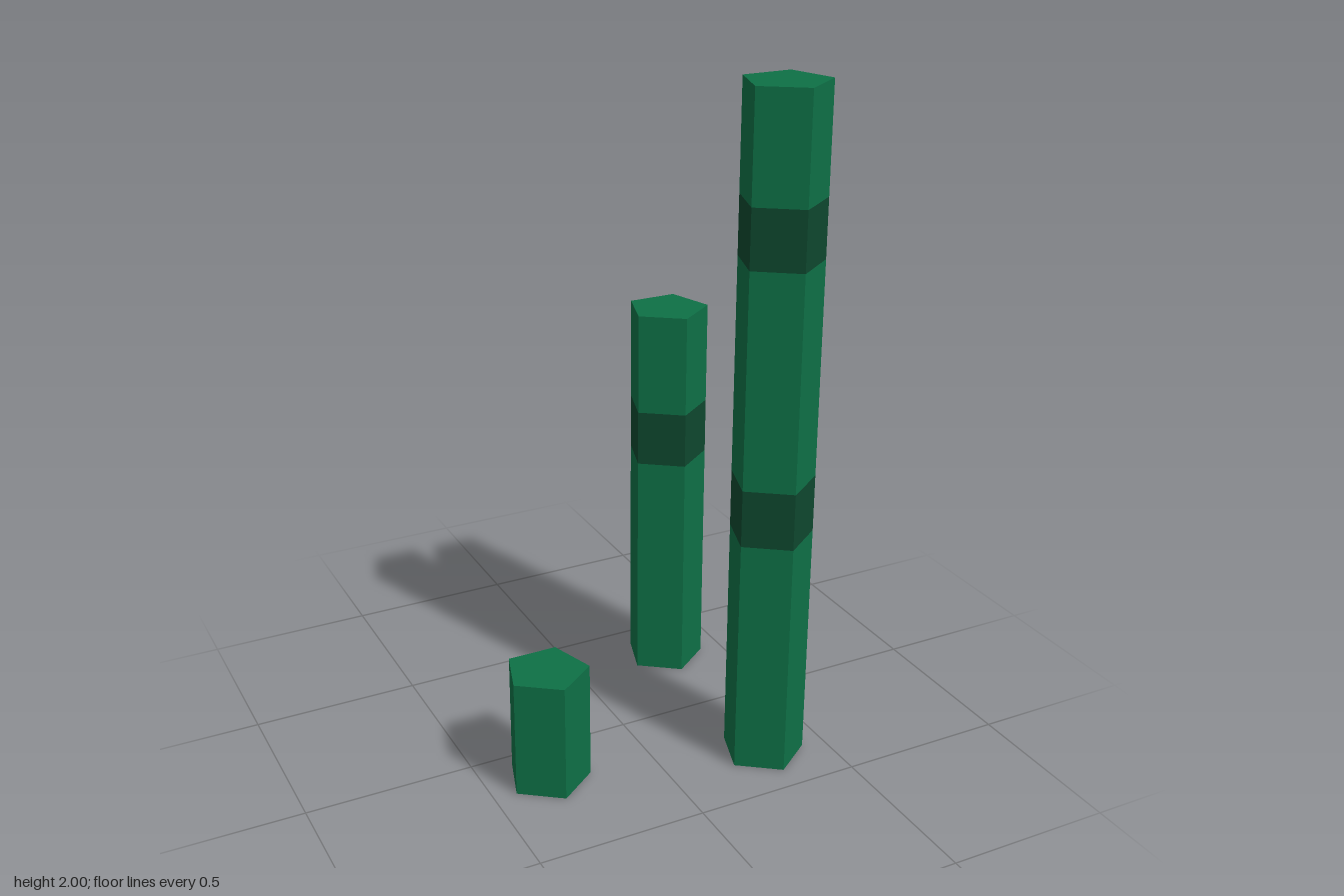
import * as THREE from 'three';

const RADIUS = 0.1235;
const SIDES = 5;
const BAND_HEIGHT = 0.17;

const green = new THREE.MeshStandardMaterial({ color: 0x0e7046, flatShading: true });
const darkGreen = new THREE.MeshStandardMaterial({ color: 0x0e472e, flatShading: true });

function addMesh(parent, name, geometry, material, y) {
  const mesh = new THREE.Mesh(geometry, material);
  mesh.name = name;
  mesh.position.y = y;
  parent.add(mesh);
}

// Open five-sided length of stalk from y0 to y1
function addSection(parent, name, material, y0, y1) {
  const geometry = new THREE.CylinderGeometry(RADIUS, RADIUS, y1 - y0, SIDES, 1, true);
  addMesh(parent, name, geometry, material, (y0 + y1) / 2);
}

// Pentagon closing an end; direction is 1 for up, -1 for down
function addCap(parent, name, y, direction) {
  const geometry = new THREE.CircleGeometry(RADIUS, SIDES, -direction * Math.PI / 2);
  geometry.rotateX(-direction * Math.PI / 2);
  addMesh(parent, name, geometry, green, y);
}

// Stalk with flush dark bands starting at the given heights
function createStalk({ name, x, z, height, bands }) {
  const stalk = new THREE.Group();
  stalk.name = name;
  stalk.position.set(x, 0, z);
  let y = 0;
  for (const start of bands) {
    addSection(stalk, 'stem', green, y, start);
    addSection(stalk, 'band', darkGreen, start, start + BAND_HEIGHT);
    y = start + BAND_HEIGHT;
  }
  addSection(stalk, 'stem', green, y, height);
  addCap(stalk, 'topCap', height, 1);
  addCap(stalk, 'bottomCap', 0, -1);
  return stalk;
}

export function createModel() {
  const model = new THREE.Group();
  model.name = 'stalks';
  const stalks = [
    { name: 'tallStalk', x: 0.313, z: 0.3, height: 2, bands: [0.72, 1.52] },
    { name: 'mediumStalk', x: 0.313, z: -0.327, height: 1.2, bands: [0.72] },
    { name: 'shortStalk', x: -0.315, z: 0.143, height: 0.36, bands: [] },
  ];
  for (const options of stalks) model.add(createStalk(options));
  return model;
}
